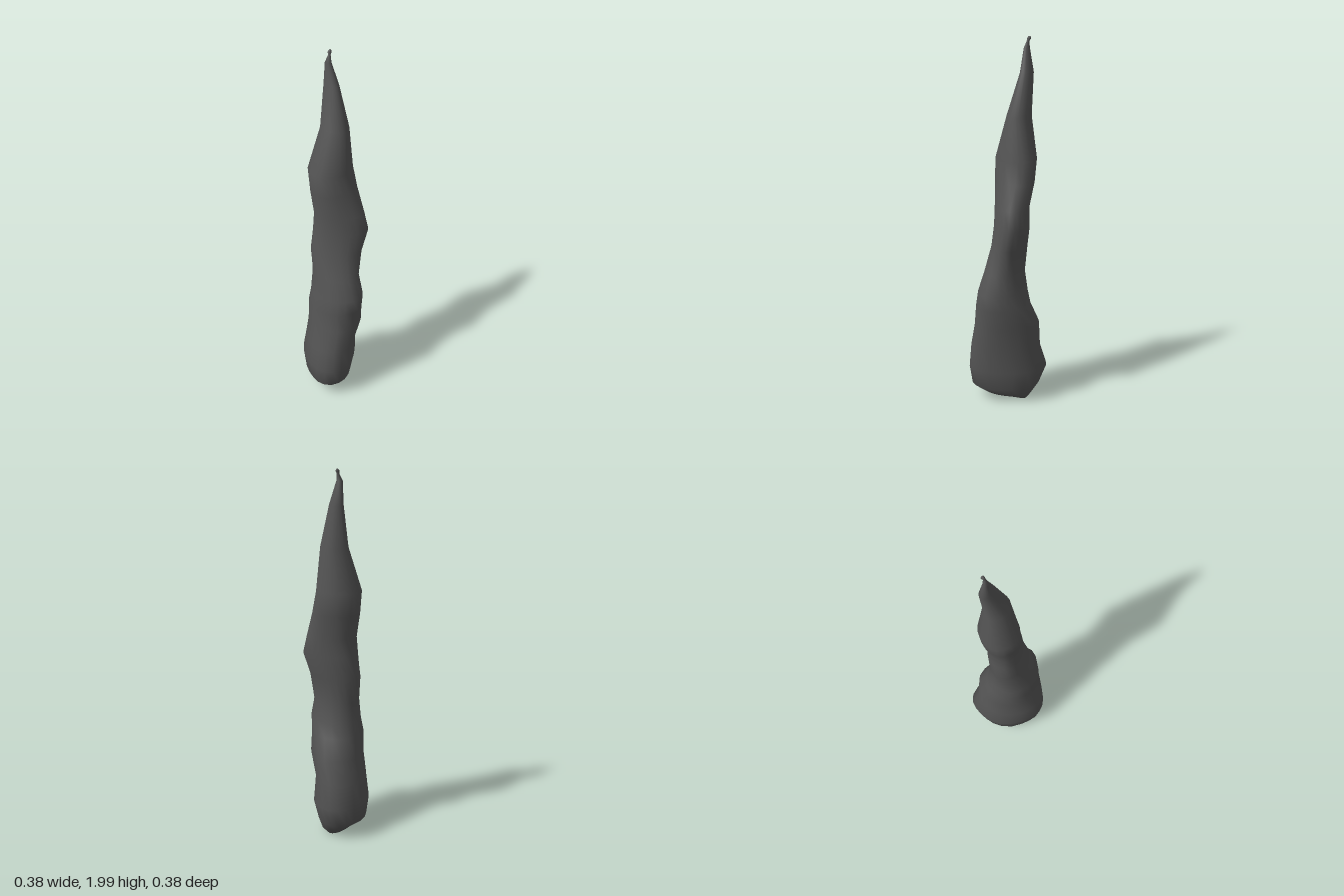
import * as THREE from 'three';

// Cross-sections: height, x min, x max, z min, z max, diagonal skew
const SECTIONS = [
  [0.01, -0.1, 0.1, -0.07, 0.02, -0.3],
  [0.04, -0.14, 0.125, -0.10, 0.10, -0.35],
  [0.09, -0.18, 0.15, -0.165, 0.145, -0.35],
  [0.20, -0.195, 0.185, -0.19, 0.165, -0.35],
  [0.33, -0.18, 0.155, -0.16, 0.165, -0.3],
  [0.46, -0.15, 0.165, -0.15, 0.18, -0.2],
  [0.57, -0.145, 0.13, -0.125, 0.185, -0.05],
  [0.65, -0.13, 0.12, -0.11, 0.19, 0],
  [0.76, -0.11, 0.105, -0.10, 0.155, 0.1],
  [0.90, -0.09, 0.125, -0.12, 0.14, 0.3],
  [1.02, -0.075, 0.16, -0.11, 0.15, 0.4],
  [1.12, -0.07, 0.15, -0.105, 0.13, 0.35],
  [1.25, -0.08, 0.155, -0.13, 0.09, 0.2],
  [1.37, -0.085, 0.15, -0.145, 0.07, 0.1],
  [1.60, -0.01, 0.12, -0.10, 0.05, 0.1],
  [1.82, 0.045, 0.105, -0.11, -0.02, 0],
  [1.94, 0.05, 0.08, -0.095, -0.06, 0],
  [1.975, 0.066, 0.08, -0.082, -0.07, 0],
  [1.99, 0.068, 0.09, -0.088, -0.07, 0],
  [2.00, 0.074, 0.086, -0.083, -0.073, 0],
];
const SIDES = 20;

// Skin a stack of skewed elliptical rings, closed by a point at each end
function loft(sections) {
  const positions = [];
  const index = [];
  const addRing = ([y, x0, x1, z0, z1, skew], scale = 1) => {
    const a = (x1 - x0) / 2 * scale;
    const b = (z1 - z0) / 2 * scale;
    const across = Math.sqrt(1 - skew * skew);
    for (let i = 0; i < SIDES; i++) {
      const t = i / SIDES * Math.PI * 2;
      // Shallow lumps that wander around the body with height
      const lump = 1 + 0.025 * Math.sin(3 * t + 5 * y) + 0.015 * Math.sin(5 * t - 9 * y);
      const x = (x0 + x1) / 2 + a * lump * Math.cos(t);
      const z = (z0 + z1) / 2 + b * lump * (skew * Math.cos(t) + across * Math.sin(t));
      // The underside slopes up towards one side
      const tilt = 0.13 * Math.max(0, 0.1 - x) * Math.max(0, 1 - y / 0.1);
      positions.push(x, y + tilt, z);
    }
  };
  addRing(sections[0], 0);
  sections.forEach((s) => addRing(s));
  addRing(sections[sections.length - 1], 0);

  const rows = sections.length + 2;
  for (let r = 0; r < rows - 1; r++) {
    for (let i = 0; i < SIDES; i++) {
      const j = (i + 1) % SIDES;
      const low = r * SIDES;
      const up = low + SIDES;
      if (r < rows - 2) index.push(low + i, up + i, up + j);
      if (r > 0) index.push(low + i, up + j, low + j);
    }
  }
  const geometry = new THREE.BufferGeometry();
  geometry.setAttribute('position', new THREE.Float32BufferAttribute(positions, 3));
  geometry.setIndex(index);
  geometry.computeVertexNormals();
  return geometry;
}

export function createModel() {
  const group = new THREE.Group();
  group.name = 'taperedSpire';
  const material = new THREE.MeshStandardMaterial({ color: 0x555555 });
  const body = new THREE.Mesh(loft(SECTIONS), material);
  body.name = 'spireBody';
  group.add(body);
  return group;
}
